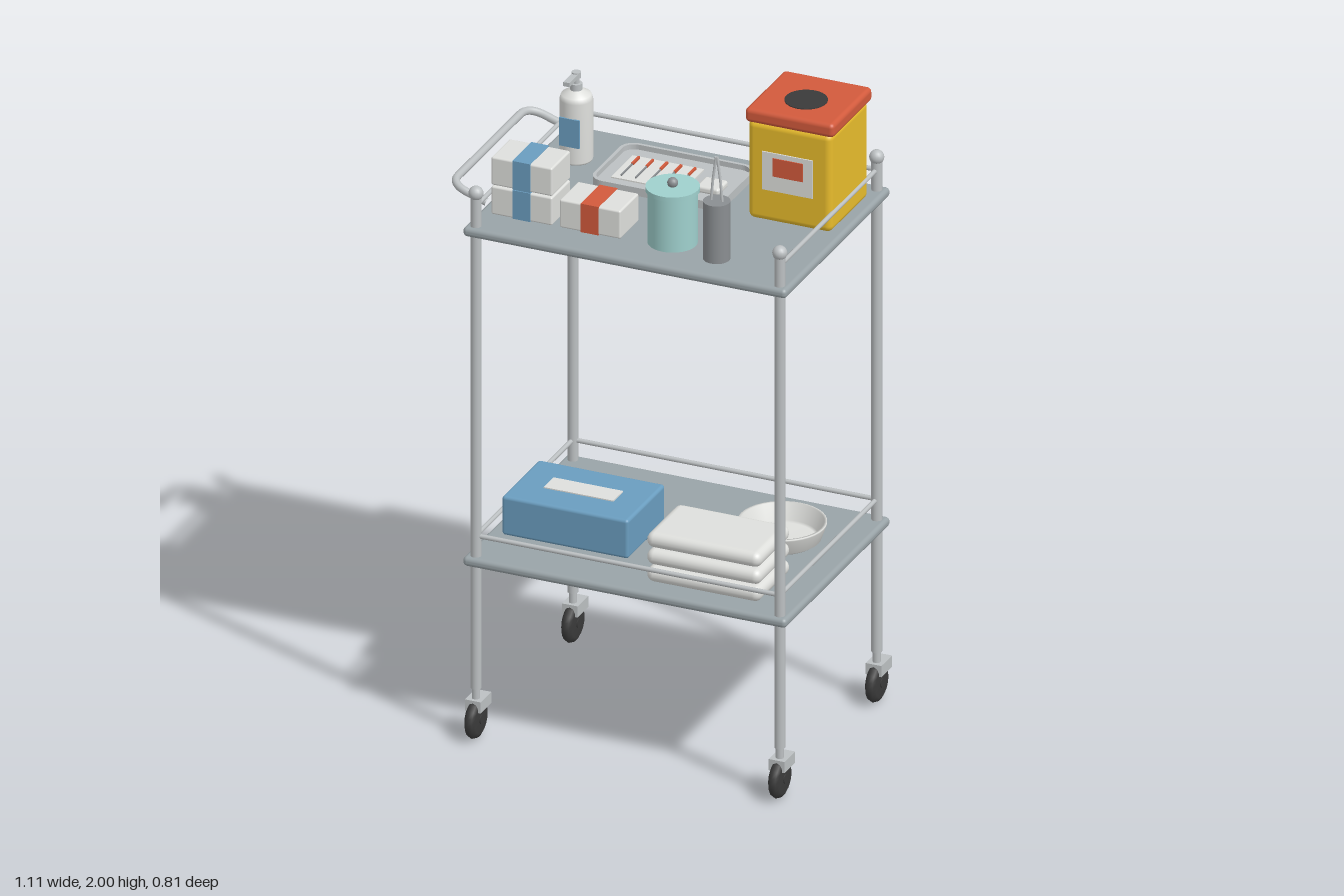
import * as THREE from 'three';
import { RoundedBoxGeometry } from 'three/addons/geometries/RoundedBoxGeometry.js';

const mat = (name, color, side = THREE.FrontSide) => {
  const m = new THREE.MeshStandardMaterial({ color, side });
  m.name = name;
  return m;
};

export function createModel() {
  const steel = mat('brushed steel', 0xbcc0c2);
  const shelfGrey = mat('shelf grey', 0x99a3a7);
  const white = mat('off white', 0xdedfdc, THREE.DoubleSide);
  const yellow = mat('yellow plastic', 0xe8bc2c);
  const red = mat('red plastic', 0xd25a3c);
  const teal = mat('teal enamel', 0x9fd0cd);
  const blue = mat('blue card', 0x6a9dbf);
  const dark = mat('dark rubber', 0x3a3a3a);
  const toolGrey = mat('tool grey', 0x8a8e91);

  const model = new THREE.Group();
  model.name = 'serviceTrolley';
  const add = (name, geo, material, x = 0, y = 0, z = 0, parent = model) => {
    const m = new THREE.Mesh(geo, material);
    m.name = name;
    m.position.set(x, y, z);
    parent.add(m);
    return m;
  };
  const group = (name, x, y, z) => {
    const g = new THREE.Group();
    g.name = name;
    g.position.set(x, y, z);
    model.add(g);
    return g;
  };
  const box = (w, h, d) => new THREE.BoxGeometry(w, h, d);
  const rbox = (w, h, d, r) => new RoundedBoxGeometry(w, h, d, 3, r);
  const cyl = (r, h, n = 24, r2 = r) => new THREE.CylinderGeometry(r2, r, h, n);
  const lathe = (pts, n = 32) => new THREE.LatheGeometry(pts.map(p => new THREE.Vector2(...p)), n);
  const rod = (name, a, b, r, material, parent = model) => {
    const p = new THREE.Vector3(...a), q = new THREE.Vector3(...b);
    const m = add(name, cyl(r, p.distanceTo(q), 12), material, 0, 0, 0, parent);
    m.position.copy(p).lerp(q, 0.5);
    m.quaternion.setFromUnitVectors(new THREE.Vector3(0, 1, 0), q.sub(p).normalize());
    return m;
  };
  const roundedRect = (w, d, r, Kind = THREE.Shape) => {
    const s = new Kind(), x = w / 2, y = d / 2;
    s.absarc(x - r, y - r, r, 0, Math.PI / 2);
    s.absarc(-x + r, y - r, r, Math.PI / 2, Math.PI);
    s.absarc(-x + r, -y + r, r, Math.PI, Math.PI * 1.5);
    s.absarc(x - r, -y + r, r, Math.PI * 1.5, Math.PI * 2);
    s.closePath();
    return s;
  };
  const slab = (shape, h) => new THREE.ExtrudeGeometry(shape, { depth: h, bevelEnabled: false, curveSegments: 6 })
    .rotateX(-Math.PI / 2);

  // Frame: posts with ball caps and casters
  const X0 = -0.433, X1 = 0.527, Z = 0.344, TOP = 1.645, LOW = 0.585;
  for (const x of [X0, X1]) for (const z of [-Z, Z]) {
    add('post', cyl(0.016, 1.59, 16), steel, x, 0.955, z);
    add('postCap', new THREE.SphereGeometry(0.022, 16, 12), steel, x, 1.75, z);
    const c = group('caster', x, 0, z);
    add('casterStem', cyl(0.012, 0.08, 12), steel, 0, 0.14, 0, c);
    add('casterFork', box(0.05, 0.036, 0.076), steel, 0, 0.109, -0.015, c);
    const wheel = add('wheel', lathe([[0, -0.017], [0.045, -0.017], [0.057, -0.011], [0.062, 0],
      [0.057, 0.011], [0.045, 0.017], [0, 0.017]], 18), dark, 0, 0.062, 0, c);
    wheel.rotation.z = Math.PI / 2;
    const hub = add('wheelHub', cyl(0.014, 0.04, 12), dark, 0, 0.062, 0, c);
    hub.rotation.z = Math.PI / 2;
  }

  // Shelves and guard rails
  for (const y of [TOP, LOW]) {
    add('shelf', rbox(1.022, 0.03, 0.748, 0.013), shelfGrey, 0.046, y - 0.015, -0.003);
    const r = y + 0.064;
    rod('backRail', [X0, r, -Z], [X1, r, -Z], 0.007, steel);
    for (const x of [X0, X1]) rod('sideRail', [x, r, -Z], [x, r, Z], 0.007, steel);
  }
  rod('lowerFrontRail', [X0, LOW + 0.064, Z], [X1, LOW + 0.064, Z], 0.007, steel);

  // Push handle, rising outwards from the left edge
  const v = (x, z) => new THREE.Vector3(x, 1.69 + (-0.43 - x) * 0.33, z);
  const path = new THREE.CurvePath();
  path.add(new THREE.LineCurve3(v(-0.43, -0.277), v(-0.49, -0.277)));
  path.add(new THREE.QuadraticBezierCurve3(v(-0.49, -0.277), v(-0.545, -0.277), v(-0.545, -0.22)));
  path.add(new THREE.LineCurve3(v(-0.545, -0.22), v(-0.545, 0.217)));
  path.add(new THREE.QuadraticBezierCurve3(v(-0.545, 0.217), v(-0.545, 0.274), v(-0.49, 0.274)));
  path.add(new THREE.LineCurve3(v(-0.49, 0.274), v(-0.43, 0.274)));
  add('pushHandle', new THREE.TubeGeometry(path, 80, 0.012, 12), steel);

  // Waste container with lid, opening and front label
  const bin = group('wasteContainer', 0.394, TOP, -0.155);
  add('containerBody', rbox(0.265, 0.315, 0.268, 0.02), yellow, 0, 0.1575, 0, bin);
  add('containerLid', rbox(0.281, 0.045, 0.281, 0.014), red, 0, 0.33, -0.004, bin);
  add('lidOpening', cyl(0.063, 0.005, 32), dark, 0.001, 0.3525, 0.015, bin);
  add('containerLabel', box(0.16, 0.122, 0.006), white, -0.004, 0.165, 0.135, bin);
  add('labelMark', box(0.095, 0.058, 0.006), red, -0.002, 0.182, 0.138, bin);

  // Banded supply cartons
  const carton = (x, y, bandMat) => {
    const g = group('supplyCarton', x, y, 0.191);
    add('cartonBody', rbox(0.193, 0.09, 0.132, 0.006), white, 0, 0.045, 0, g);
    add('cartonBand', box(0.056, 0.092, 0.136), bandMat, 0, 0.0455, 0, g);
  };
  carton(-0.328, TOP, blue);
  carton(-0.328, TOP + 0.094, blue);
  carton(-0.112, TOP, red);

  // Lidded canister
  const can = group('canister', 0.128, TOP, 0.208);
  add('canisterBody', cyl(0.073, 0.168, 32), teal, 0, 0.084, 0, can);
  add('canisterLid', cyl(0.079, 0.014, 32), teal, 0, 0.173, 0, can);
  add('lidKnob', new THREE.SphereGeometry(0.016, 16, 12), toolGrey, 0, 0.19, 0, can);

  // Forceps jar
  const jar = group('forcepsJar', 0.288, TOP, 0.255);
  add('jarBody', cyl(0.04, 0.185, 24), toolGrey, 0, 0.0925, 0, jar);
  for (const s of [-1, 1]) {
    rod('forcepsArm', [s * 0.018, 0.18, 0], [s * 0.012, 0.25, 0], 0.004, steel, jar);
    rod('forcepsArm', [s * 0.012, 0.25, 0], [s * 0.002, 0.325, 0], 0.004, steel, jar);
  }

  // Pump bottle
  const bottle = group('pumpBottle', -0.347, TOP, -0.175);
  add('bottleBody', lathe([[0, 0], [0.046, 0], [0.049, 0.006], [0.049, 0.195], [0.044, 0.21],
    [0.02, 0.222], [0.017, 0.225]]), white, 0, 0, 0, bottle);
  add('pumpCollar', cyl(0.018, 0.025, 16), steel, 0, 0.232, 0, bottle);
  add('pumpStem', cyl(0.009, 0.035, 12), steel, 0, 0.255, 0, bottle);
  add('pumpHead', cyl(0.014, 0.018, 16), steel, 0, 0.271, 0, bottle);
  add('pumpSpout', box(0.02, 0.013, 0.075), steel, 0, 0.27, 0.034, bottle);
  add('bottleLabel', box(0.064, 0.09, 0.006), blue, 0, 0.105, 0.049, bottle);

  // Instrument tray with raised rim, mat, tools and gauze
  const tray = group('instrumentTray', -0.034, TOP, -0.158);
  add('trayBase', slab(roundedRect(0.41, 0.262, 0.042), 0.01), steel, 0, 0, 0, tray);
  const rim = roundedRect(0.418, 0.27, 0.045);
  rim.holes.push(roundedRect(0.398, 0.25, 0.036, THREE.Path));
  add('trayRim', slab(rim, 0.026), steel, 0, 0, 0, tray);
  add('trayMat', box(0.226, 0.005, 0.154), white, -0.049, 0.0115, -0.001, tray);
  for (let i = 0; i < 5; i++) {
    const x = -0.137 + i * 0.0445;
    add('toolShaft', box(0.004, 0.005, 0.08), toolGrey, x, 0.0165, 0.019, tray);
    add('toolHandle', box(0.007, 0.007, 0.048), red, x, 0.0175, -0.043, tray);
  }
  add('gauzePad', rbox(0.072, 0.022, 0.072, 0.008), white, 0.135, 0.02, 0.026, tray);

  // Lower shelf: glove box, folded towels and basin
  const gloves = group('gloveBox', -0.22, LOW, 0.06);
  add('gloveBoxBody', rbox(0.4, 0.125, 0.265, 0.01), blue, 0, 0.0625, 0, gloves);
  add('gloveBoxSlot', box(0.22, 0.005, 0.07), white, 0, 0.126, 0, gloves);
  for (let i = 0; i < 3; i++)
    add('foldedTowel', rbox(0.362, 0.048, 0.23, 0.0235), white, 0.266, LOW + 0.025 + i * 0.055, 0.195);
  add('basin', lathe([[0, 0.002], [0.1, 0.002], [0.114, 0.012], [0.13, 0.058], [0.13, 0.063],
    [0.122, 0.063], [0.106, 0.014], [0.098, 0.009], [0, 0.009]], 36), white, 0.335, LOW, -0.105);

  return model;
}
